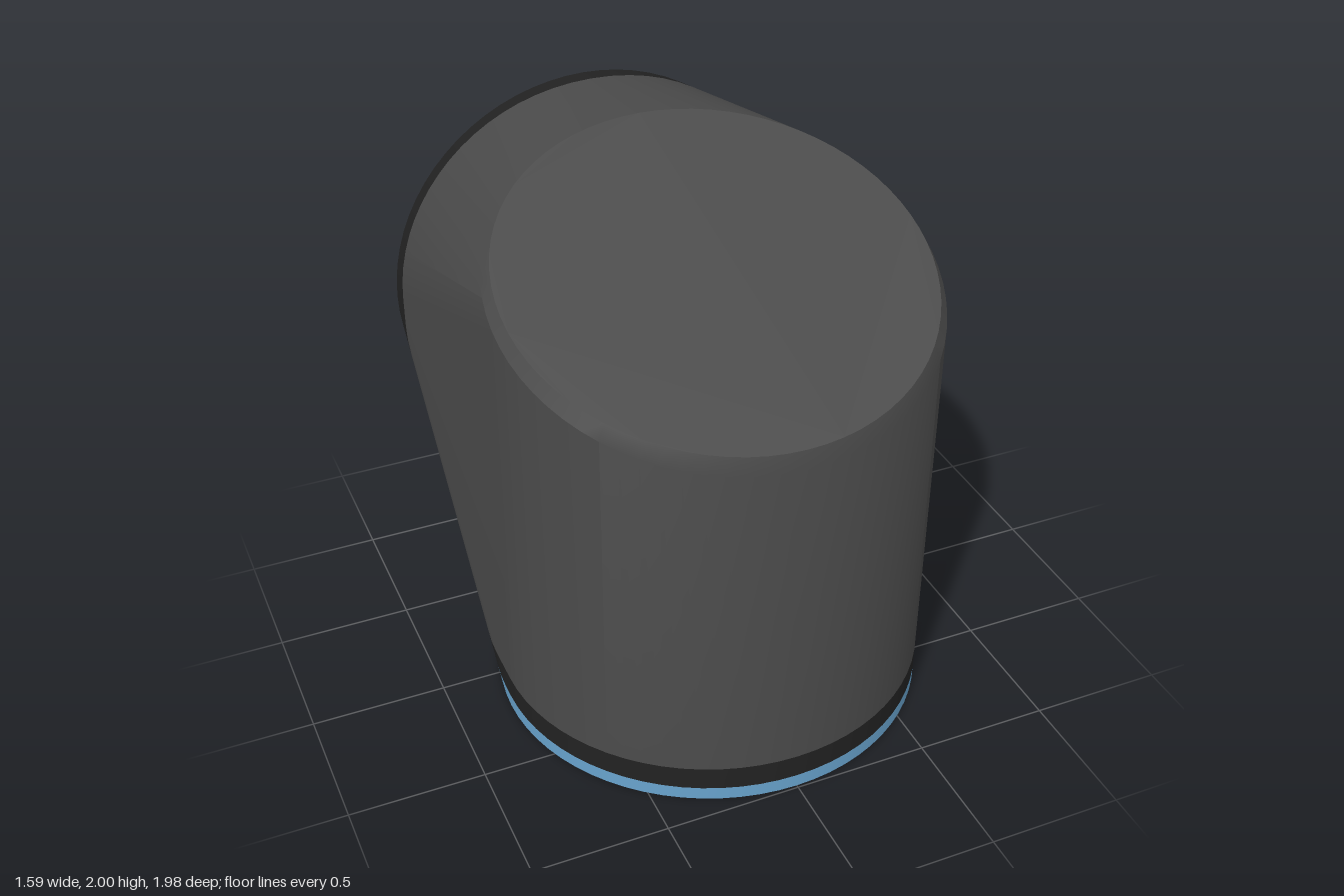
import * as THREE from 'three';
import { toCreasedNormals } from 'three/addons/utils/BufferGeometryUtils.js';
import { ConvexGeometry } from 'three/addons/geometries/ConvexGeometry.js';

const SEGMENTS = 72;
const RADIUS = 0.796;
const BASE_Z = 0.194, BACK_Y = 1.136, BACK_Z = -0.99;

// Points of an ellipse given by its centre and the y,z direction of its second axis
function ring(rx, y, z, dy, dz) {
  return Array.from({ length: SEGMENTS }, (_, i) => {
    const a = (i / SEGMENTS) * Math.PI * 2;
    return new THREE.Vector3(rx * Math.cos(a), y + dy * Math.sin(a), z + dz * Math.sin(a));
  });
}

// Triangles as polygons of { p, n } corners, without the two flat end caps
function shellPolygons(geometry) {
  const pos = geometry.attributes.position, nor = geometry.attributes.normal;
  const polygons = [];
  for (let i = 0; i < pos.count; i += 3) {
    const poly = [0, 1, 2].map((k) => ({
      p: new THREE.Vector3().fromBufferAttribute(pos, i + k),
      n: new THREE.Vector3().fromBufferAttribute(nor, i + k),
    }));
    const isCap = poly.every((c) => c.p.y < 1e-4) || poly.every((c) => c.p.z < BACK_Z + 1e-4);
    if (!isCap) polygons.push(poly);
  }
  return polygons;
}

// Keep the part of a polygon where sign * (axis - limit) is positive
function clip(poly, axis, limit, sign) {
  const out = [];
  poly.forEach((a, i) => {
    const b = poly[(i + 1) % poly.length];
    const da = sign * (a.p[axis] - limit), db = sign * (b.p[axis] - limit);
    if (da >= 0) out.push(a);
    if (da * db < 0) {
      const t = da / (da - db);
      out.push({ p: a.p.clone().lerp(b.p, t), n: a.n.clone().lerp(b.n, t).normalize() });
    }
  });
  return out;
}

function split(polygons, axis, limit) {
  const side = (s) => polygons.map((q) => clip(q, axis, limit, s)).filter((q) => q.length > 2);
  return { above: side(1), below: side(-1) };
}

function toGeometry(polygons) {
  const p = [], n = [];
  for (const poly of polygons) {
    for (let i = 1; i < poly.length - 1; i++) {
      for (const c of [poly[0], poly[i], poly[i + 1]]) {
        p.push(c.p.x, c.p.y, c.p.z);
        n.push(c.n.x, c.n.y, c.n.z);
      }
    }
  }
  const g = new THREE.BufferGeometry();
  g.setAttribute('position', new THREE.Float32BufferAttribute(p, 3));
  g.setAttribute('normal', new THREE.Float32BufferAttribute(n, 3));
  return g;
}

export function createModel() {
  const group = new THREE.Group();
  const material = (name, color) => {
    const m = new THREE.MeshStandardMaterial({ color });
    m.name = name;
    return m;
  };
  const grey = material('dark grey', 0x4b4b4b);
  const black = material('black', 0x222222);
  const blue = material('light blue', 0x68a3cd);
  const add = (name, geometry, mat) => {
    const mesh = new THREE.Mesh(geometry, mat);
    mesh.name = name;
    group.add(mesh);
    return mesh;
  };

  // One convex shell around the base, the back opening and the bevelled sloping top
  const hull = new ConvexGeometry([
    ...ring(RADIUS, 0, BASE_Z, 0, RADIUS),
    ...ring(RADIUS, BACK_Y, BACK_Z, RADIUS, 0),
    ...ring(RADIUS, 1.67, 0.26, -0.3, 0.722),
    ...ring(0.766, 1.718, 0.27, -0.282, 0.697),
  ]);
  const shell = shellPolygons(toCreasedNormals(hull, 0.35));

  // Cut the shell into the coloured bands
  const back = split(shell, 'z', -0.9);
  const foot = split(back.above, 'y', 0.14);
  const trim = split(foot.below, 'y', 0.05);
  add('body', toGeometry(foot.above), grey);
  add('backBand', toGeometry(back.below), black);
  add('baseBand', toGeometry(trim.above), black);
  add('baseTrim', toGeometry(trim.below), blue);

  // Flat end caps
  const backCap = add('backCap', new THREE.CircleGeometry(RADIUS, SEGMENTS), grey);
  backCap.position.set(0, BACK_Y, BACK_Z);
  backCap.rotation.y = Math.PI;

  const baseCap = add('baseCap', new THREE.CircleGeometry(0.78, SEGMENTS), grey);
  const baseRim = add('baseRim', new THREE.RingGeometry(0.78, RADIUS, SEGMENTS), blue);
  for (const part of [baseCap, baseRim]) {
    part.position.z = BASE_Z;
    part.rotation.x = Math.PI / 2;
  }
  return group;
}
